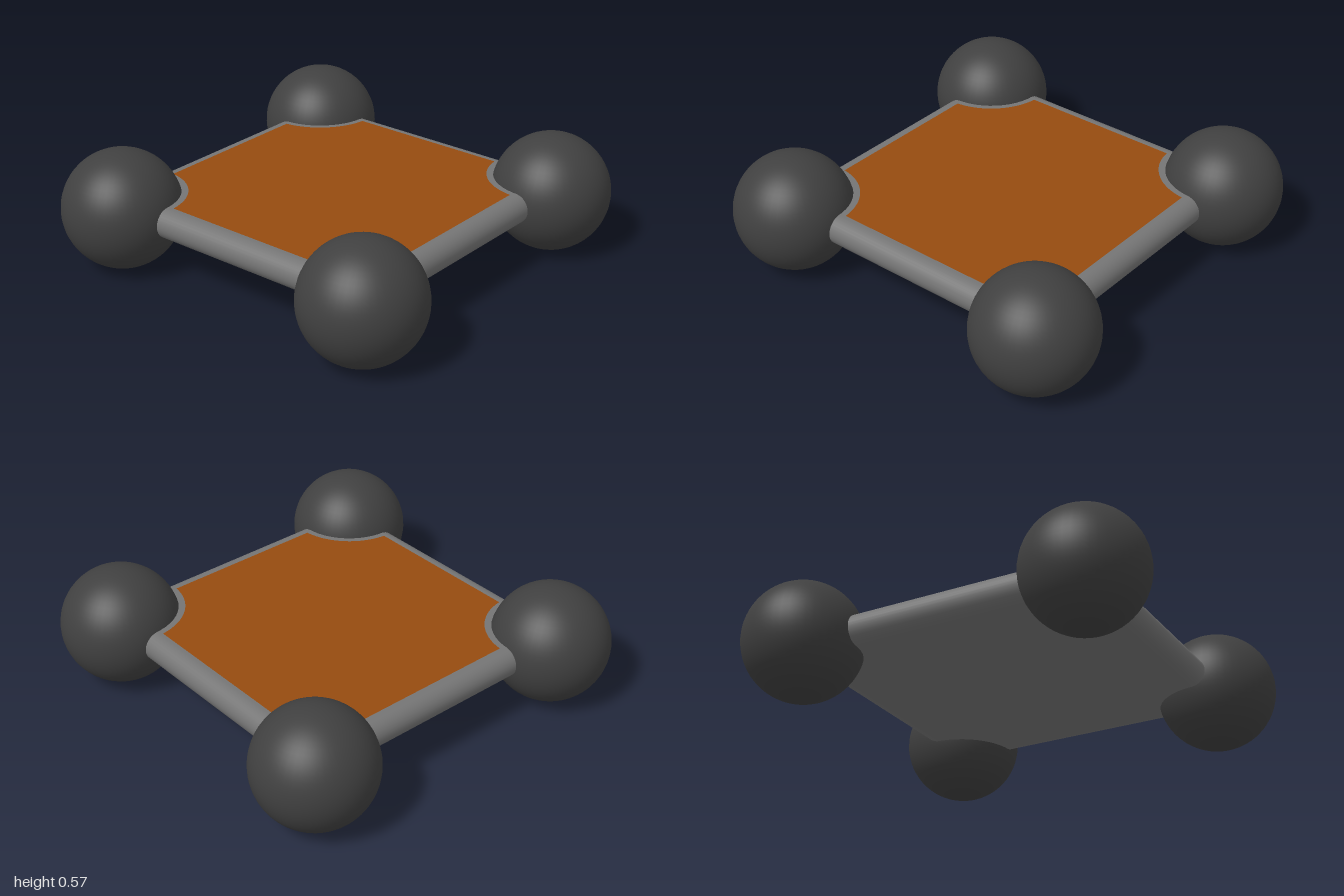
import * as THREE from 'three';

export function createModel() {
  const model = new THREE.Group();
  const grey = new THREE.MeshStandardMaterial({ color: 0x757575 });
  const dark = new THREE.MeshStandardMaterial({ color: 0x404040 });
  const brown = new THREE.MeshStandardMaterial({ color: 0x964b10 });
  const midY = 0.285, edge = 0.697, edgeRadius = 0.072, ball = 0.715, ballRadius = 0.285;

  function add(name, geometry, material, x = 0, y = 0, z = 0) {
    const mesh = new THREE.Mesh(geometry, material);
    mesh.name = name;
    mesh.position.set(x, y, z);
    model.add(mesh);
    return mesh;
  }

  // Flat slab whose four sides are rounded off by rails
  add('slab', new THREE.BoxGeometry(edge * 2, edgeRadius * 2, edge * 2), grey, 0, midY, 0);
  const rail = new THREE.CylinderGeometry(edgeRadius, edgeRadius, ball * 2, 32);
  for (const s of [-1, 1]) {
    add(s > 0 ? 'frontRail' : 'backRail', rail, grey, 0, midY, s * edge).rotation.z = Math.PI / 2;
    add(s > 0 ? 'leftRail' : 'rightRail', rail, grey, s * edge, midY, 0).rotation.x = Math.PI / 2;
  }

  // Ball at each corner
  const sphere = new THREE.SphereGeometry(ballRadius, 48, 32);
  for (const x of [-1, 1]) for (const z of [-1, 1]) {
    add((z > 0 ? 'front' : 'back') + (x > 0 ? 'Left' : 'Right') + 'Ball', sphere, dark, x * ball, midY, z * ball);
  }

  // Inlaid top panel, scooped around the balls
  const half = 0.685, scoop = 0.307;
  const a = Math.asin((ball - half) / scoop);
  const panel = new THREE.Shape();
  [[1, 1], [-1, 1], [-1, -1], [1, -1]].forEach(([x, y], i) => {
    const turn = i * Math.PI / 2;
    panel.absarc(x * ball, y * ball, scoop, turn - Math.PI / 2 - a, turn - Math.PI + a, true);
  });
  panel.closePath();
  add('topPanel', new THREE.ShapeGeometry(panel, 24), brown, 0, midY + edgeRadius + 0.002, 0).rotation.x = -Math.PI / 2;

  return model;
}
